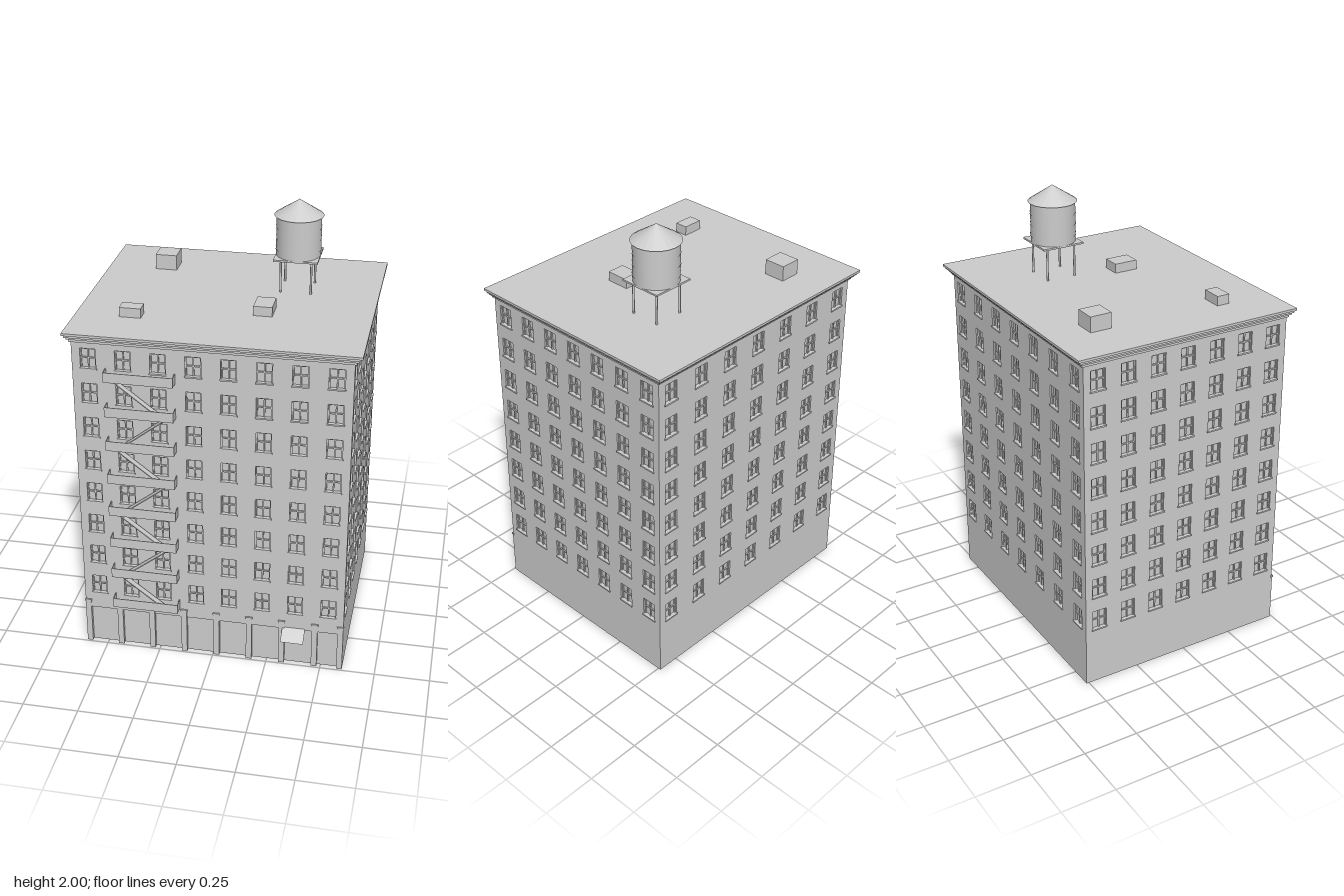
import * as THREE from 'three';
import { mergeGeometries } from 'three/addons/utils/BufferGeometryUtils.js';

const stone = new THREE.MeshStandardMaterial({ color: 0xcccccc, side: THREE.DoubleSide });
stone.name = 'pale grey';

const W = 1.2, D = 1.0, ZC = -0.012, ROOF = 1.57;   // body width, depth, depth centre, wall top
const FLOOR0 = 0.321, STOREY = 0.1637, FLOORS = 8;  // window row centres
const WIN_W = 0.068, WIN_H = 0.09, REVEAL = 0.014;

// Box given by its limits
function box(x0, x1, y0, y1, z0, z1) {
  const g = new THREE.BoxGeometry(x1 - x0, y1 - y0, z1 - z0);
  return g.translate((x0 + x1) / 2, (y0 + y1) / 2, (z0 + z1) / 2);
}

function add(parent, name, geometry) {
  const mesh = new THREE.Mesh(geometry, stone);
  mesh.name = name;
  parent.add(mesh);
  return mesh;
}

function rectPath(target, x0, x1, y0, y1) {
  target.moveTo(x0, y0);
  target.lineTo(x1, y0);
  target.lineTo(x1, y1);
  target.lineTo(x0, y1);
  target.closePath();
  return target;
}

// Wall facing +z with its outer face on z = 0, pierced by a grid of windows
function makeWall(name, width, columns, span, bottom) {
  const wall = new THREE.Group();
  wall.name = name;
  const shape = rectPath(new THREE.Shape(), -width / 2, width / 2, bottom, ROOF);
  const panes = [], frames = [], sills = [];
  const hw = WIN_W / 2, hh = WIN_H / 2, f = 0.005;
  for (let r = 0; r < FLOORS; r++) {
    const y = FLOOR0 + r * STOREY;
    for (let c = 0; c < columns; c++) {
      const x = -span / 2 + (c * span) / (columns - 1);
      shape.holes.push(rectPath(new THREE.Path(), x - hw, x + hw, y - hh, y + hh));
      panes.push(new THREE.PlaneGeometry(WIN_W, WIN_H).translate(x, y, -REVEAL + 0.001));
      const z0 = -REVEAL + 0.001, z1 = -0.007;
      frames.push(
        box(x - hw, x - hw + f, y - hh, y + hh, z0, z1),
        box(x + hw - f, x + hw, y - hh, y + hh, z0, z1),
        box(x - hw, x + hw, y + hh - f, y + hh, z0, z1),
        box(x - hw, x + hw, y - 0.003, y + 0.003, z0, z1),
        box(x - 0.003, x + 0.003, y - hh, y + hh, z0, z1));
      sills.push(box(x - hw - 0.004, x + hw + 0.004, y - hh - 0.007, y - hh, -0.005, 0.005));
    }
  }
  const solid = new THREE.ExtrudeGeometry(shape, { depth: REVEAL, bevelEnabled: false });
  add(wall, name + 'Masonry', solid.translate(0, 0, -REVEAL));
  add(wall, name + 'Panes', mergeGeometries(panes));
  add(wall, name + 'Sashes', mergeGeometries(frames));
  add(wall, name + 'Sills', mergeGeometries(sills));
  return wall;
}

// Ground floor of the front: pilasters with recessed shop bays
function makeShopfront() {
  const shop = new THREE.Group();
  shop.name = 'shopfront';
  add(shop, 'shopPanels', new THREE.PlaneGeometry(W, 0.2).translate(0, 0.1, -REVEAL));
  const pilasters = [];
  for (let i = 0; i < 9; i++) {
    const x = Math.min(-0.587 + i * 0.151, 0.587);
    pilasters.push(box(x - 0.013, x + 0.013, 0, 0.222, -REVEAL, 0.004));
    pilasters.push(box(x - 0.016, x + 0.016, 0.222, 0.232, -0.005, 0.007));
  }
  add(shop, 'pilasters', mergeGeometries(pilasters));
  return shop;
}

// Stepped cornice made of stacked rings, closed by the flat roof
function makeCornice() {
  const roof = new THREE.Group();
  roof.name = 'roofAndCornice';
  const levels = [[0.008, 1.54, 1.553], [0.017, 1.553, 1.563], [0.025, 1.563, 1.574], [0.033, 1.574, 1.585]];
  const rings = levels.map(([out, y0, y1]) => {
    const hx = W / 2 + out, front = 0.488 + out * 0.85, back = -0.512 - out * 1.15;
    const shape = rectPath(new THREE.Shape(), -hx, hx, -front, -back);
    shape.holes.push(rectPath(new THREE.Path(), -0.59, 0.59, -0.478, 0.502));
    const g = new THREE.ExtrudeGeometry(shape, { depth: y1 - y0, bevelEnabled: false });
    return g.rotateX(-Math.PI / 2).translate(0, y0, 0);
  });
  add(roof, 'cornice', mergeGeometries(rings));
  add(roof, 'roofDeck', box(-0.595, 0.595, 1.575, 1.585, -0.507, 0.483));
  return roof;
}

// Landings with panelled railings, joined by zigzag flights
function makeFireEscape() {
  const escape = new THREE.Group();
  escape.name = 'fireEscape';
  const x0 = -0.455, x1 = -0.153, z0 = 0.488, z1 = 0.536, t = 0.003;
  const landings = [], flights = [];
  for (let i = 0; i < FLOORS; i++) {
    const y = 0.237 + i * STOREY, top = y + 0.046;
    landings.push(
      box(x0, x1, y, y + t, z0, z1),
      box(x0, x1, y, top, z1 - t, z1),
      box(x0, x0 + t, y, top, z0, z1),
      box(x1 - t, x1, y, top, z0, z1));
    if (i === FLOORS - 1) continue;
    const dir = i % 2 ? 1 : -1, run = 0.212;
    const flight = new THREE.BoxGeometry(Math.hypot(run, STOREY), 0.004, 0.03);
    flight.rotateZ(dir * Math.atan2(STOREY, run));
    flights.push(flight.translate(-0.303, y + STOREY / 2, 0.515));
  }
  add(escape, 'landings', mergeGeometries(landings));
  add(escape, 'stairFlights', mergeGeometries(flights));
  return escape;
}

// Rooftop water tank on four legs
function makeWaterTank() {
  const tank = new THREE.Group();
  tank.name = 'waterTank';
  const sides = 20;
  add(tank, 'tankBarrel', new THREE.CylinderGeometry(0.101, 0.101, 0.185, sides).translate(0, 1.8375, 0));
  const cone = new THREE.ConeGeometry(0.11, 0.072, sides).toNonIndexed();
  cone.computeVertexNormals();
  add(tank, 'tankRoof', cone.translate(0, 1.964, 0));
  const hoops = [1.775, 1.825, 1.875].map((y) =>
    new THREE.CylinderGeometry(0.103, 0.103, 0.004, sides, 1, true).translate(0, y, 0));
  add(tank, 'tankHoops', mergeGeometries(hoops));
  add(tank, 'tankPlatform', box(-0.099, 0.099, 1.738, 1.746, -0.099, 0.099));
  for (const sx of [-1, 1]) for (const sz of [-1, 1]) {
    add(tank, 'tankLeg', new THREE.CylinderGeometry(0.005, 0.005, 0.16, 8).translate(sx * 0.068, 1.66, sz * 0.068));
  }
  tank.position.set(0.264, 0, -0.17);
  return tank;
}

export function createModel() {
  const model = new THREE.Group();
  model.name = 'apartmentBuilding';

  // Four walls
  const front = makeWall('frontWall', W, 8, 1.058, 0.19);
  front.add(makeShopfront());
  front.position.z = ZC + D / 2;
  const back = makeWall('backWall', W, 7, 1.058, 0);
  back.rotation.y = Math.PI;
  back.position.z = ZC - D / 2;
  model.add(front, back);
  for (const s of [-1, 1]) {
    const side = makeWall(s > 0 ? 'leftWall' : 'rightWall', D, 7, 0.864, 0);
    side.rotation.y = (s * Math.PI) / 2;
    side.position.set((s * W) / 2, 0, ZC);
    model.add(side);
  }

  model.add(makeCornice(), makeFireEscape(), makeWaterTank());

  // Rooftop boxes
  add(model, 'stairHouse', box(-0.414, -0.316, 1.58, 1.655, -0.37, -0.27));
  add(model, 'smallVent', box(-0.438, -0.343, 1.58, 1.628, 0.24, 0.3));
  add(model, 'roofHatch', box(0.123, 0.206, 1.58, 1.628, 0.07, 0.18));

  // Sloping shop awning
  const awning = new THREE.PlaneGeometry(0.104, Math.hypot(0.062, 0.04));
  awning.rotateX(-Math.atan2(0.062, 0.04)).translate(0.374, 0.177, 0.519);
  add(model, 'awning', awning);
  return model;
}
